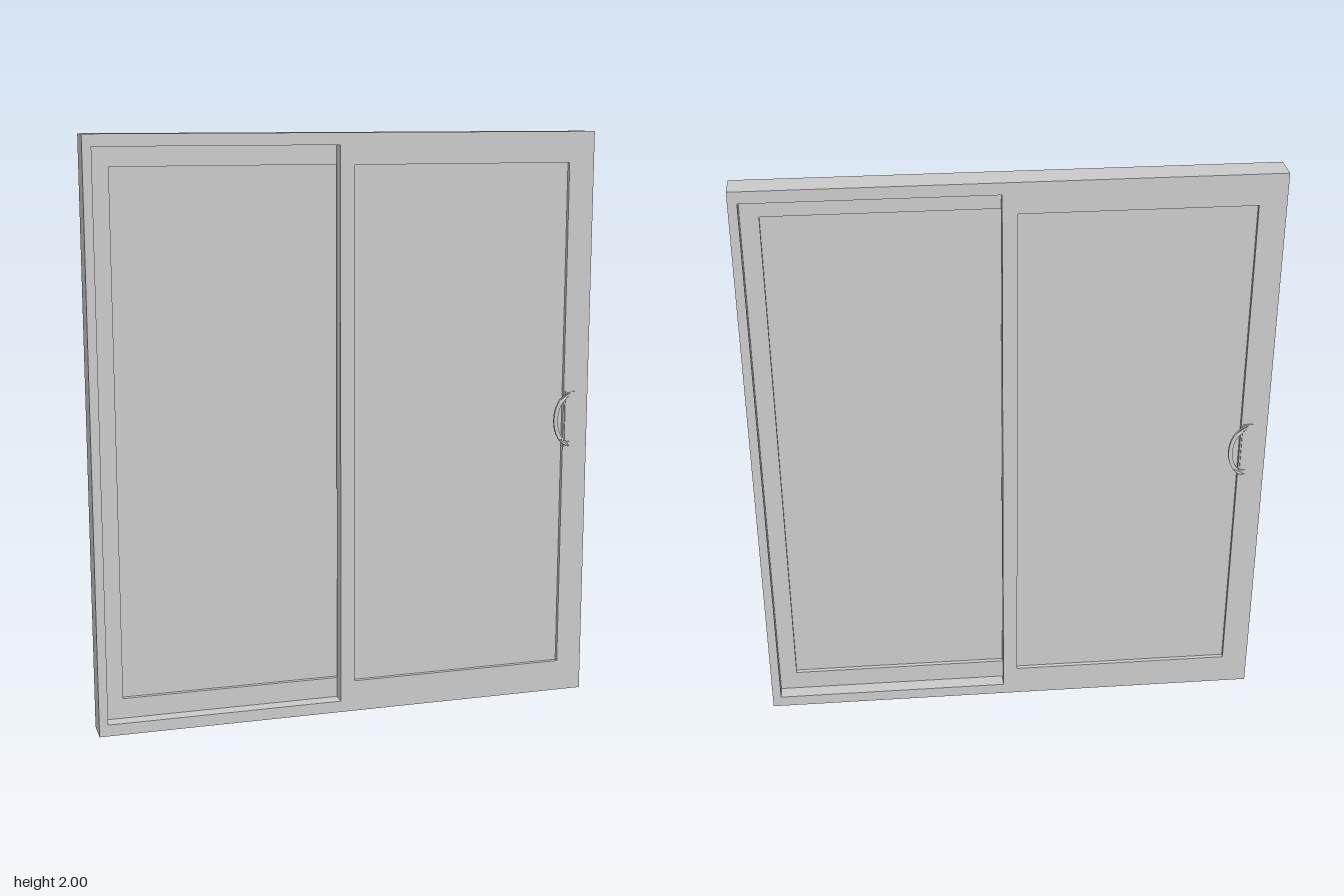
import * as THREE from 'three';

const material = new THREE.MeshStandardMaterial({ color: 0xcccccc, flatShading: true });

function part(name, geometry) {
  const mesh = new THREE.Mesh(geometry, material);
  mesh.name = name;
  return mesh;
}

function rect(target, x0, y0, x1, y1) {
  target.moveTo(x0, y0);
  target.lineTo(x1, y0);
  target.lineTo(x1, y1);
  target.lineTo(x0, y1);
  target.closePath();
  return target;
}

// Rectangular border: outer and inner rectangles as [x0, y0, x1, y1], from z0 to z1
function border(outer, inner, z0, z1) {
  const shape = rect(new THREE.Shape(), ...outer);
  shape.holes.push(rect(new THREE.Path(), ...inner));
  return new THREE.ExtrudeGeometry(shape, { depth: z1 - z0, bevelEnabled: false }).translate(0, 0, z0);
}

function box(x0, y0, z0, x1, y1, z1) {
  return new THREE.BoxGeometry(x1 - x0, y1 - y0, z1 - z0)
    .translate((x0 + x1) / 2, (y0 + y1) / 2, (z0 + z1) / 2);
}

// D-shaped flat pull whose two ends bend back to the mounting plate
function createHandle() {
  const handle = new THREE.Group();
  handle.name = 'handle';
  handle.add(part('handlePlate', box(0.79, 0.904, 0.049, 0.825, 1.1, 0.054)));

  const shape = new THREE.Shape();
  const cx = 0.808, cy = 1.002, steps = 32;
  const ring = (rx, ry) => Array.from({ length: steps + 1 }, (_, i) => {
    const a = Math.PI * (0.5 + i / steps);
    return new THREE.Vector2(cx + rx * Math.cos(a), cy + ry * Math.sin(a));
  });
  shape.setFromPoints([...ring(0.064, 0.096), ...ring(0.05, 0.08).reverse()]);
  const geometry = new THREE.ExtrudeGeometry(shape, { depth: 0.008, bevelEnabled: false });
  const p = geometry.attributes.position;
  for (let i = 0; i < p.count; i++) {
    const bend = THREE.MathUtils.smoothstep(p.getX(i), 0.782, cx);
    p.setZ(i, p.getZ(i) + 0.058 - 0.009 * bend);
  }
  geometry.computeVertexNormals();
  handle.add(part('handlePull', geometry));
  return handle;
}

// Sliding panel in the front half of the frame
function createPanel(name) {
  const panel = new THREE.Group();
  panel.name = name;
  panel.add(
    part('panelFrame', border([-0.03, 0.04, 0.845, 1.96], [0.02, 0.11, 0.785, 1.895], 0, 0.05)),
    part('glass', box(0.02, 0.11, 0.015, 0.785, 1.895, 0.035)),
    createHandle()
  );
  return panel;
}

export function createModel() {
  const door = new THREE.Group();
  door.name = 'slidingDoor';

  // Outer frame
  door.add(part('outerFrame', border([-0.875, 0, 0.875, 2], [-0.845, 0.04, 0.845, 1.96], -0.05, 0.05)));

  // Two overlapping panels, the rear one turned half way round
  const rear = createPanel('rearPanel');
  rear.rotation.y = Math.PI;
  door.add(createPanel('frontPanel'), rear);
  return door;
}
